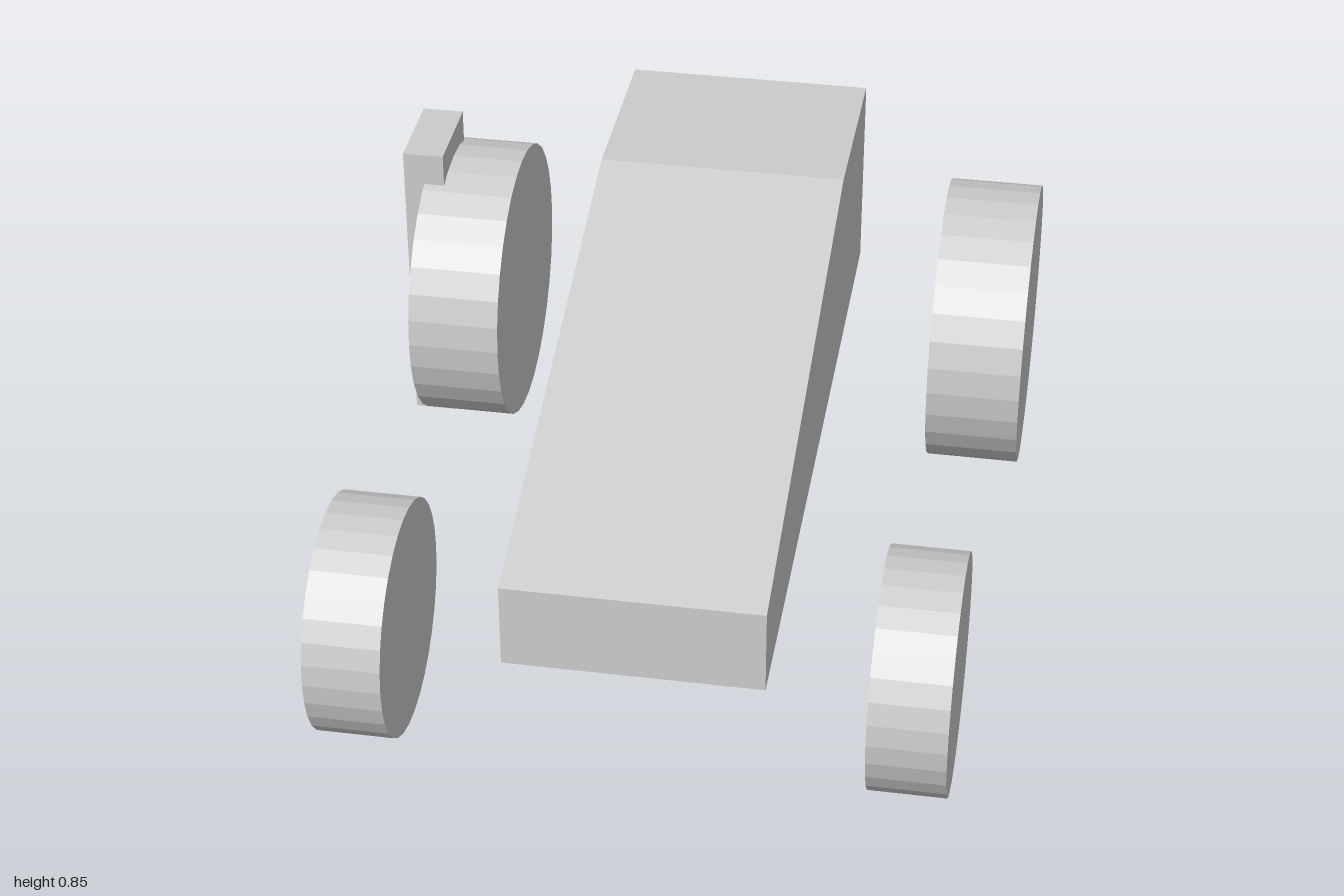
import * as THREE from 'three';

export function createModel() {
  const group = new THREE.Group();
  const material = new THREE.MeshStandardMaterial({ color: 0xcccccc, flatShading: true });

  const add = (name, geometry, x, y, z) => {
    const mesh = new THREE.Mesh(geometry, material);
    mesh.name = name;
    mesh.position.set(x, y, z);
    group.add(mesh);
  };

  // Wedge body: side profile as (z, y), extruded across the width
  const profile = [[0.845, 0.282], [0.845, 0.496], [-0.46, 0.853], [-0.94, 0.847], [-0.94, 0.341]];
  const shape = new THREE.Shape(profile.map(([z, y]) => new THREE.Vector2(-z, y)));
  const body = new THREE.ExtrudeGeometry(shape, { depth: 0.61, bevelEnabled: false });
  body.rotateY(Math.PI / 2);
  add('body', body, -0.28, 0, 0);

  // Wheels: small at the front, large at the rear, each standing on the ground
  const wheel = (name, radius, xMin, xMax, z) => {
    const geometry = new THREE.CylinderGeometry(radius, radius, xMax - xMin, 32);
    geometry.rotateZ(Math.PI / 2);
    add(name, geometry, (xMin + xMax) / 2, radius, z);
  };
  wheel('frontRightWheel', 0.282, -0.707, -0.525, 0.718);
  wheel('frontLeftWheel', 0.282, 0.575, 0.757, 0.718);
  wheel('rearRightWheel', 0.359, -0.757, -0.525, -0.641);
  wheel('rearLeftWheel', 0.359, 0.575, 0.807, -0.641);

  // Upright bar set into the outside of the rear right wheel
  add('uprightBar', new THREE.BoxGeometry(0.104, 0.782, 0.236), -0.757, 0.391, -0.642);

  return group;
}
